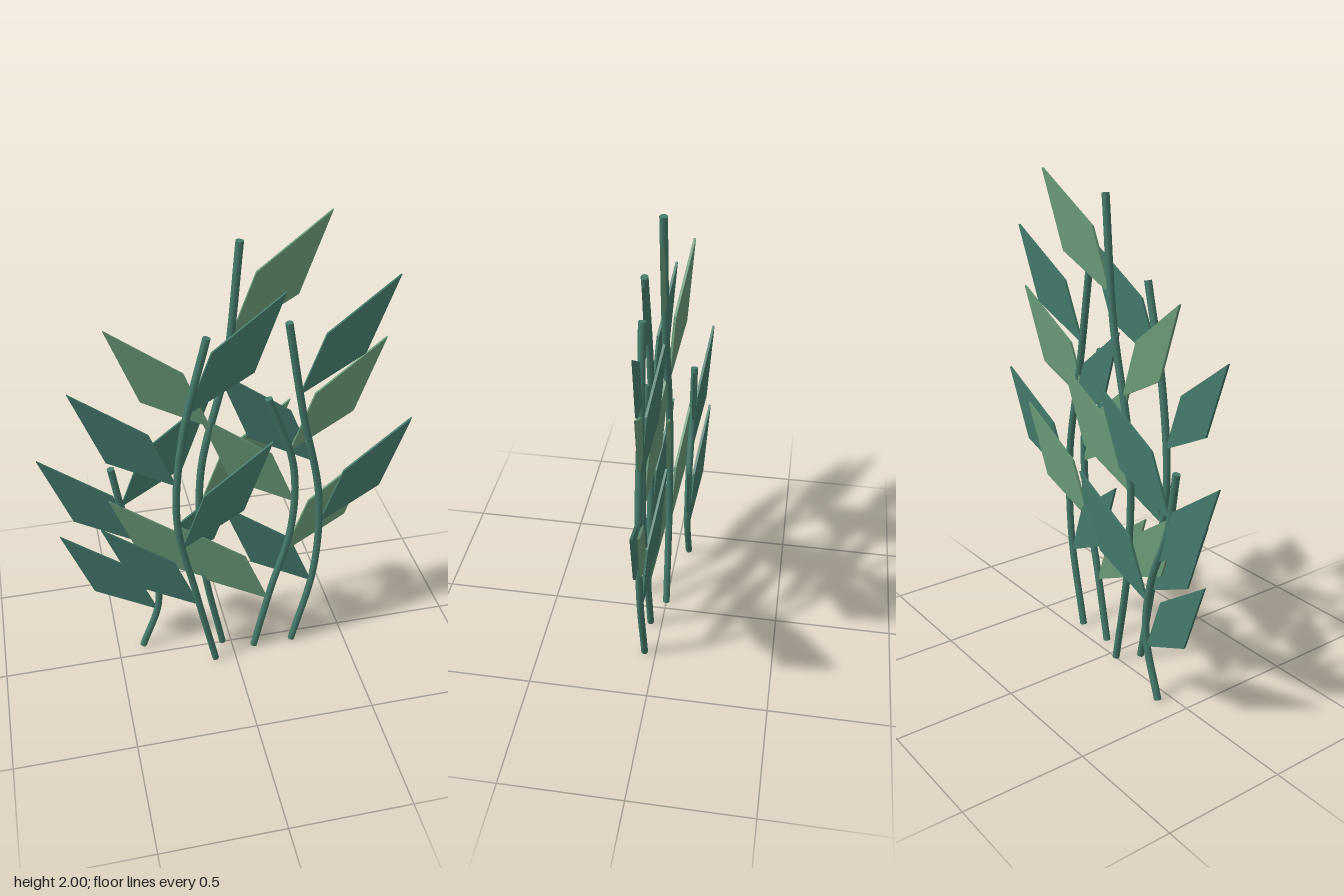
import * as THREE from 'three';

const STEM_RADIUS = 0.015;
const LEAF_THICKNESS = 0.01;
const LEAF_TILT = 0.126; // backward slope of a leaf, away from its stem
const LEAF_COUNT = 4;

// each stem: depth, height, leaf colour, and its x at five evenly spaced heights
const STEMS = [
  { name: 'outerRight', z: -0.056, height: 1.0, color: 'dark', sway: [-0.39, -0.311, -0.335, -0.43, -0.473] },
  { name: 'frontRight', z: 0.093, height: 1.625, color: 'dark', sway: [-0.09, -0.17, -0.24, -0.206, -0.11] },
  { name: 'tall', z: 0, height: 1.94, color: 'light', sway: [-0.04, -0.12, -0.123, -0.018, 0.03] },
  { name: 'short', z: 0.05, height: 1.31, color: 'light', sway: [0.093, 0.164, 0.243, 0.242, 0.134] },
  { name: 'outerLeft', z: 0.048, height: 1.625, color: 'dark', sway: [0.267, 0.353, 0.356, 0.274, 0.204] },
];

// smooth upright curve whose height grows evenly with t
function stemCurve({ height, sway }) {
  const points = sway.map((x, i) => new THREE.Vector3(x, THREE.MathUtils.lerp(0.005, height, i / (sway.length - 1)), 0));
  return new THREE.CatmullRomCurve3(points, false, 'catmullrom', 0.5);
}

// kite-shaped leaf blade growing from the origin to one side, leaning back
function leafGeometry(side) {
  const outline = [[0, 0], [0.262, 0.13], [0.38, 0.437], [0.097, 0.243]];
  const shape = new THREE.Shape(outline.map(([x, y]) => new THREE.Vector2(side * x, y)));
  const geometry = new THREE.ExtrudeGeometry(shape, { depth: LEAF_THICKNESS, bevelEnabled: false });
  geometry.translate(0, 0, -LEAF_THICKNESS / 2);
  const p = geometry.attributes.position;
  for (let i = 0; i < p.count; i++) p.setZ(i, p.getZ(i) - LEAF_TILT * Math.abs(p.getX(i)));
  geometry.computeVertexNormals();
  return geometry;
}

// round stem along a curve, closed by a disc at each end
function buildStem(curve, material) {
  const stem = new THREE.Group();
  stem.name = 'stem';
  const stalk = new THREE.Mesh(new THREE.TubeGeometry(curve, 32, STEM_RADIUS, 10, false), material);
  stalk.name = 'stalk';
  stem.add(stalk);
  for (const [t, direction, name] of [[0, -1, 'bottomCap'], [1, 1, 'topCap']]) {
    const cap = new THREE.Mesh(new THREE.CircleGeometry(STEM_RADIUS, 10), material);
    cap.name = name;
    cap.position.copy(curve.getPoint(t));
    cap.quaternion.setFromUnitVectors(new THREE.Vector3(0, 0, 1), curve.getTangent(t).multiplyScalar(direction));
    stem.add(cap);
  }
  return stem;
}

export function createModel() {
  const materials = {
    dark: new THREE.MeshStandardMaterial({ color: 0x447a6c }),
    light: new THREE.MeshStandardMaterial({ color: 0x6a9a78 }),
  };
  materials.dark.name = 'deep teal green';
  materials.light.name = 'soft leaf green';

  const model = new THREE.Group();
  model.name = 'plant';
  const rightBlade = leafGeometry(-1);
  const leftBlade = leafGeometry(1);

  for (const spec of STEMS) {
    const sprig = new THREE.Group();
    sprig.name = spec.name + 'Sprig';
    sprig.position.z = spec.z;
    const curve = stemCurve(spec);
    sprig.add(buildStem(curve, materials.dark));
    // leaves alternate sides at even steps up the stem
    for (let i = 0; i < LEAF_COUNT; i++) {
      const isLeft = i % 2 === 1;
      const leaf = new THREE.Mesh(isLeft ? leftBlade : rightBlade, materials[spec.color]);
      leaf.name = isLeft ? 'leftLeaf' : 'rightLeaf';
      leaf.position.copy(curve.getPoint(0.21 + 0.199 * i));
      sprig.add(leaf);
    }
    model.add(sprig);
  }
  return model;
}
